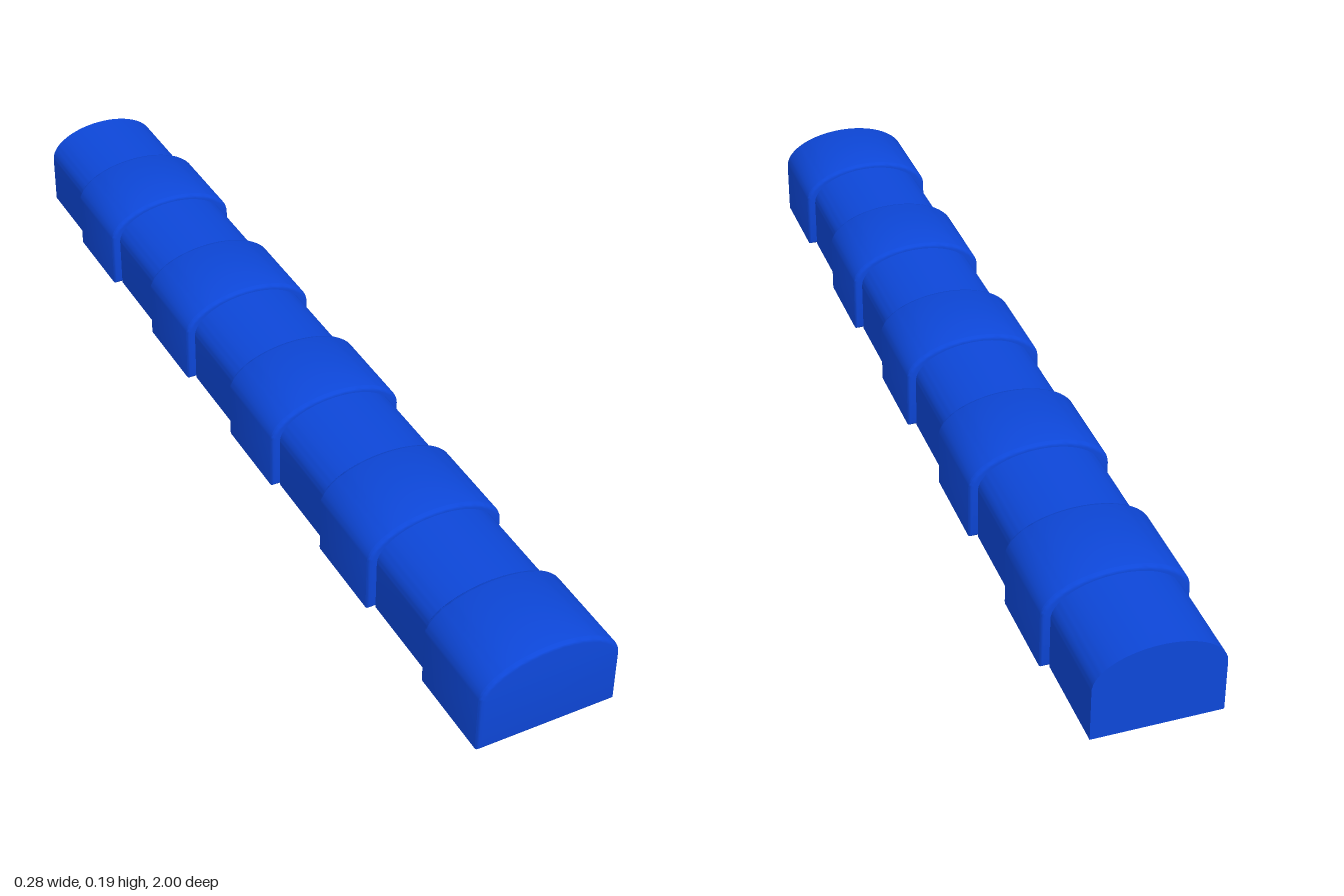
import * as THREE from 'three';
import { toCreasedNormals } from 'three/addons/utils/BufferGeometryUtils.js';

const SEGMENTS = 10;
const LENGTH = 0.2;

// Straight-sided block with an elliptical crown, extruded along z and centred
function archBlock(halfWidth, springY, topY, bevel) {
  const shape = new THREE.Shape();
  shape.moveTo(-halfWidth, 0);
  shape.lineTo(halfWidth, 0);
  shape.lineTo(halfWidth, springY);
  shape.absellipse(0, springY, halfWidth, topY - springY, 0, Math.PI, false, 0);
  shape.closePath();
  const geometry = new THREE.ExtrudeGeometry(shape, {
    depth: LENGTH - 2 * bevel,
    curveSegments: 20,
    bevelEnabled: bevel > 0,
    bevelThickness: bevel,
    bevelSize: bevel,
    bevelOffset: -bevel,
    bevelSegments: 3,
  });
  geometry.translate(0, 0, -(LENGTH - 2 * bevel) / 2);
  return toCreasedNormals(geometry, Math.PI / 5);
}

export function createModel() {
  const group = new THREE.Group();
  group.name = 'segmentedBarrier';
  const material = new THREE.MeshStandardMaterial({ color: 0x0d47d9 });

  // Wide blocks have softened ends, narrow blocks are plain
  const wide = archBlock(0.142, 0.112, 0.188, 0.008);
  const narrow = archBlock(0.125, 0.108, 0.178, 0);

  // Alternate wide and narrow from the front to the back
  for (let i = 0; i < SEGMENTS; i++) {
    const isWide = i % 2 === 0;
    const block = new THREE.Mesh(isWide ? wide : narrow, material);
    block.name = (isWide ? 'wideBlock' : 'narrowBlock') + (Math.floor(i / 2) + 1);
    block.position.z = 1 - LENGTH * (i + 0.5);
    group.add(block);
  }
  return group;
}
